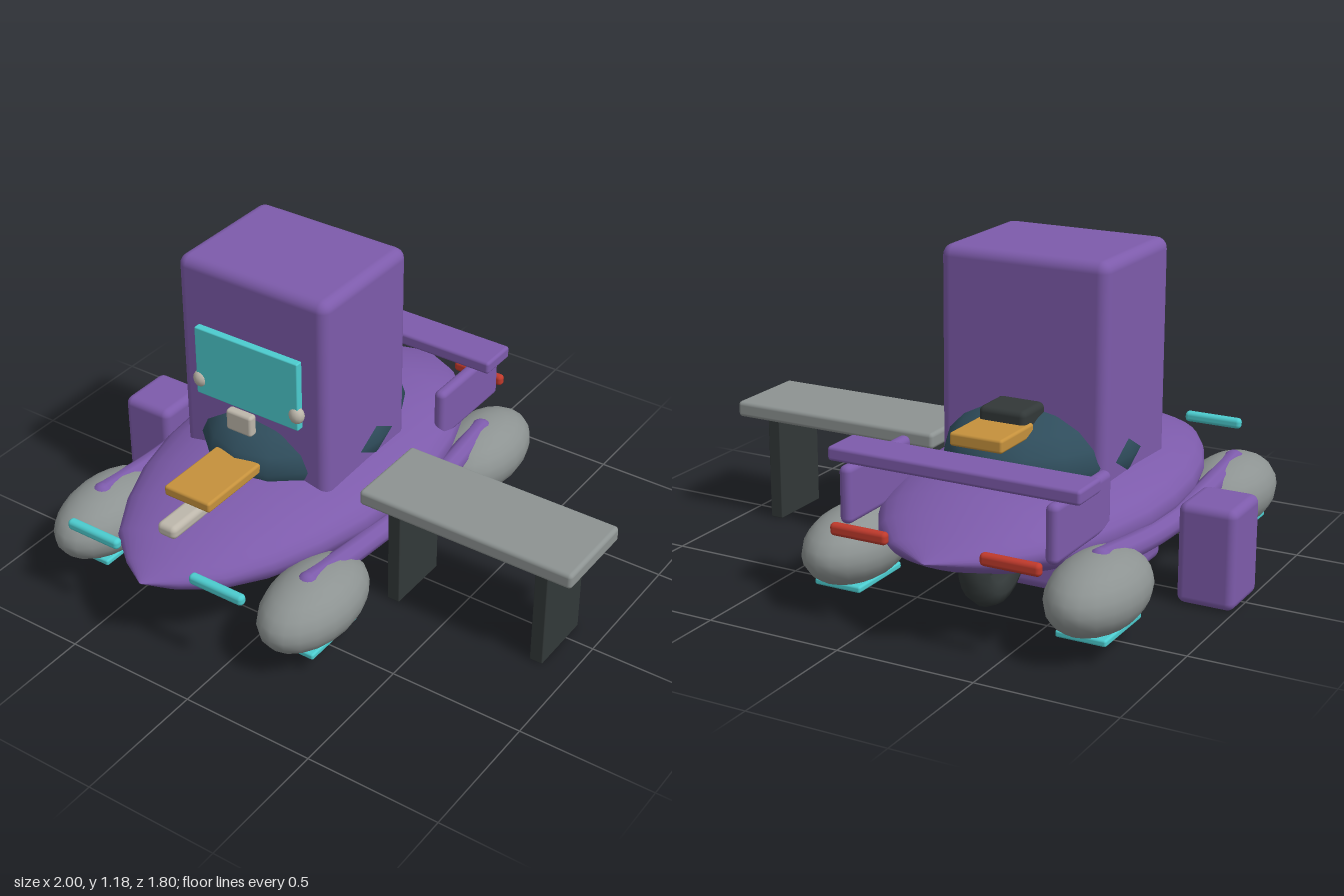
import * as THREE from 'three';
import { RoundedBoxGeometry } from 'three/addons/geometries/RoundedBoxGeometry.js';

const mat = (name, color) => {
  const m = new THREE.MeshStandardMaterial({ color });
  m.name = name;
  return m;
};

// Loft of oval sections; rows are [z, half width, top y, bottom y], front to back
function loft(rows, midY, n = 28) {
  const pos = [], idx = [];
  rows.forEach(([z, w, top, bottom], i) => {
    for (let j = 0; j < n; j++) {
      const a = (j / n) * Math.PI * 2, s = Math.sin(a);
      pos.push(Math.cos(a) * w, midY + s * (s > 0 ? top - midY : midY - bottom), z);
      if (i === rows.length - 1) continue;
      const p = i * n + j, q = i * n + (j + 1) % n;
      idx.push(p, p + n, q, p + n, q + n, q);
    }
  });
  const g = new THREE.BufferGeometry();
  g.setAttribute('position', new THREE.Float32BufferAttribute(pos, 3));
  g.setIndex(idx);
  g.computeVertexNormals();
  return g;
}

export function createModel() {
  const root = new THREE.Group();
  const purple = mat('purple paint', 0x7d5bab);
  const grey = mat('grey metal', 0x8d9392);
  const dark = mat('dark rubber', 0x323838);
  const glass = mat('dark blue glass', 0x2f4d5c);
  const gold = mat('gold', 0xc5913c);
  const cyan = mat('cyan glow', 0x4ccccf);
  const silver = mat('warm silver', 0xbdb7ab);
  const red = mat('red light', 0xc03a2c);

  const craft = new THREE.Group();
  craft.name = 'craft';
  craft.position.x = -0.265;
  root.add(craft);

  const add = (parent, name, geo, material, x = 0, y = 0, z = 0) => {
    const m = new THREE.Mesh(geo, material);
    m.name = name;
    m.position.set(x, y, z);
    parent.add(m);
    return m;
  };
  // Rounded box given by its extents on each axis
  const box = (parent, name, material, [x0, x1], [y0, y1], [z0, z1], r = 0.01) =>
    add(parent, name, new RoundedBoxGeometry(x1 - x0, y1 - y0, z1 - z0, 3, r), material,
      (x0 + x1) / 2, (y0 + y1) / 2, (z0 + z1) / 2);
  const ball = (parent, name, material, [rx, ry, rz], [x, y, z], n = 20) =>
    add(parent, name, new THREE.SphereGeometry(1, n, Math.ceil(n * 0.6)), material, x, y, z).scale.set(rx, ry, rz);

  // Hull
  add(craft, 'hull', loft([
    [0.9, 0.002, 0.311, 0.309], [0.83, 0.12, 0.345, 0.265], [0.73, 0.24, 0.385, 0.225],
    [0.58, 0.33, 0.425, 0.185], [0.4, 0.405, 0.453, 0.158], [0.2, 0.455, 0.465, 0.143],
    [0, 0.475, 0.47, 0.14], [-0.2, 0.47, 0.468, 0.143], [-0.4, 0.43, 0.458, 0.16],
    [-0.58, 0.365, 0.435, 0.19], [-0.7, 0.29, 0.4, 0.225], [-0.81, 0.18, 0.355, 0.262],
    [-0.9, 0.002, 0.311, 0.309],
  ], 0.31), purple);

  // Canopy
  ball(craft, 'canopy', glass, [0.33, 0.2, 0.44], [0, 0.48, -0.06], 16);

  // Tall cabinet and its screen
  box(craft, 'cabinet', purple, [-0.315, 0.315], [0, 1.18], [-0.25, 0.25], 0.04);
  box(craft, 'screen', cyan, [-0.22, 0.22], [0.67, 0.94], [0.255, 0.285], 0.005);
  box(craft, 'screenBracket', silver, [-0.055, 0.055], [0.605, 0.688], [0.3, 0.337], 0.012);

  // Nose and tail fittings
  box(craft, 'nosePlate', gold, [-0.098, 0.098], [0.48, 0.52], [0.34, 0.635]);
  box(craft, 'noseNozzle', silver, [-0.04, 0.04], [0.41, 0.462], [0.4, 0.755], 0.02);
  box(craft, 'tailPlate', gold, [-0.098, 0.098], [0.59, 0.637], [-0.565, -0.34]);
  box(craft, 'tailIntake', dark, [-0.088, 0.088], [0.57, 0.682], [-0.39, -0.22], 0.02);

  // Rear wing
  box(craft, 'wing', purple, [-0.463, 0.463], [0.53, 0.58], [-0.735, -0.58], 0.012);

  for (const s of [-1, 1]) {
    const at = (a, b) => (s > 0 ? [a, b] : [-b, -a]);
    box(craft, 'wingEndPlate', purple, at(0.355, 0.402), [0.33, 0.532], [-0.768, -0.37], 0.022);
    box(craft, 'headlight', cyan, at(0.155, 0.38), [0.335, 0.375], [0.8, 0.835], 0.015);
    box(craft, 'tailLight', red, at(0.17, 0.385), [0.32, 0.364], [-0.852, -0.818], 0.015);
    ball(craft, 'screenKnob', silver, [0.03, 0.033, 0.025], [s * 0.208, 0.728, 0.274], 12);

    // Side rail with rounded ends
    const ends = [[0.455, 0.295, 0.56], [0.455, 0.295, -0.56]].map(([x, y, z]) => [s * x, y, z]);
    const path = new THREE.CatmullRomCurve3([
      new THREE.Vector3(...ends[0]), new THREE.Vector3(s * 0.462, 0.262, 0.25),
      new THREE.Vector3(s * 0.472, 0.255, 0), new THREE.Vector3(s * 0.468, 0.262, -0.25),
      new THREE.Vector3(...ends[1]),
    ]);
    add(craft, 'sideRail', new THREE.TubeGeometry(path, 24, 0.042, 10), purple);
    ends.forEach((e) => ball(craft, 'railEnd', purple, [0.042, 0.042, 0.042], e, 12));

    // Hover pods with glowing pads
    for (const z of [0.53, -0.57]) {
      ball(craft, 'hoverPod', grey, [0.155, 0.132, 0.257], [s * 0.455, 0.195, z]);
      box(craft, 'hoverPad', cyan, at(0.365, 0.545), [0.066, 0.09], [z - 0.135, z + 0.135], 0.008);
    }
  }

  // Wheels tucked under the hull
  for (const z of [0.44, -0.44]) {
    add(craft, 'tyre', new THREE.TorusGeometry(0.14, 0.052, 8, 24), dark, 0, 0.2, z).rotation.y = Math.PI / 2;
  }

  // Side bench
  const bench = new THREE.Group();
  bench.name = 'bench';
  root.add(bench);
  box(bench, 'benchTop', grey, [0.155, 1], [0.395, 0.455], [-0.128, 0.207], 0.015);
  for (const x of [0.28, 0.87]) {
    box(bench, 'benchLeg', dark, [x - 0.025, x + 0.025], [0, 0.4], [-0.083, 0.17], 0.004);
  }

  // Small box on the other side
  box(root, 'sideBox', purple, [-1, -0.79], [0, 0.36], [-0.12, 0.107], 0.03);

  return root;
}
